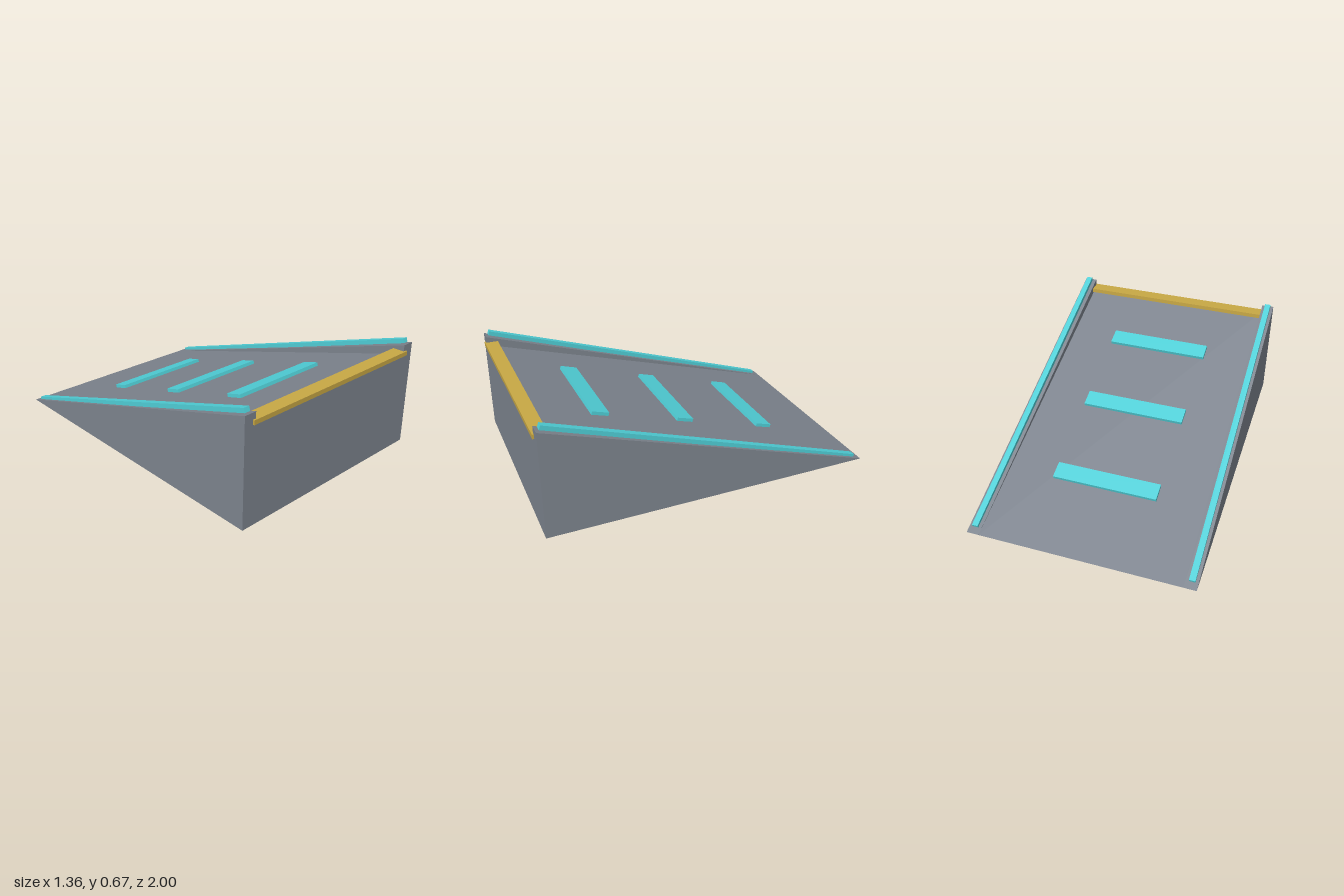
import * as THREE from 'three';

const BACK = -1, FRONT = 0.99;
const DECK_TOP = 0.59, CURB_TOP = 0.643;

export function createModel() {
  const model = new THREE.Group();
  model.name = 'ramp';

  const grey = new THREE.MeshStandardMaterial({ color: 0x7e858f });
  grey.name = 'concrete grey';
  const cyan = new THREE.MeshStandardMaterial({ color: 0x50d0d8 });
  cyan.name = 'marker cyan';
  const gold = new THREE.MeshStandardMaterial({ color: 0xc8a845 });
  gold.name = 'edge gold';

  const add = (name, geometry, material) => {
    const mesh = new THREE.Mesh(geometry, material);
    mesh.name = name;
    model.add(mesh);
    return mesh;
  };

  // Triangular side profile extruded from x0 to x1
  const wedge = (x0, x1, top) => {
    const profile = new THREE.Shape([
      new THREE.Vector2(-FRONT, 0),
      new THREE.Vector2(-BACK, 0),
      new THREE.Vector2(-FRONT, top),
    ]);
    const geometry = new THREE.ExtrudeGeometry(profile, { depth: x1 - x0, bevelEnabled: false });
    return geometry.rotateY(Math.PI / 2).translate(x0, 0, 0);
  };

  // Sloping deck between two taller curbs
  add('deck', wedge(-0.605, 0.605, DECK_TOP), grey);
  add('leftCurb', wedge(0.605, 0.68, CURB_TOP), grey);
  add('rightCurb', wedge(-0.68, -0.605, CURB_TOP), grey);

  // Light strips along the curbs, slightly steeper than the curbs themselves
  const stripAngle = Math.atan2(0.64, 1.925);
  for (const [name, x] of [['leftLightStrip', 0.644], ['rightLightStrip', -0.644]]) {
    const strip = add(name, new THREE.BoxGeometry(0.036, 0.026, 2.03), cyan);
    strip.position.set(x, 0.337, 0.004);
    strip.rotation.x = -stripAngle;
  }

  // Cross slats lying on the deck
  const deckSlope = DECK_TOP / (FRONT - BACK);
  [-0.507, 0.031, 0.551].forEach((z, i) => {
    const slat = add(`slat${i + 1}`, new THREE.BoxGeometry(0.64, 0.022, 0.104), cyan);
    slat.position.set(0, (z - BACK) * deckSlope + 0.01, z);
    slat.rotation.x = -Math.atan(deckSlope);
  });

  // Lip along the high edge
  add('edgeLip', new THREE.BoxGeometry(1.25, 0.026, 0.08), gold).position.set(0, 0.592, 0.96);

  return model;
}
